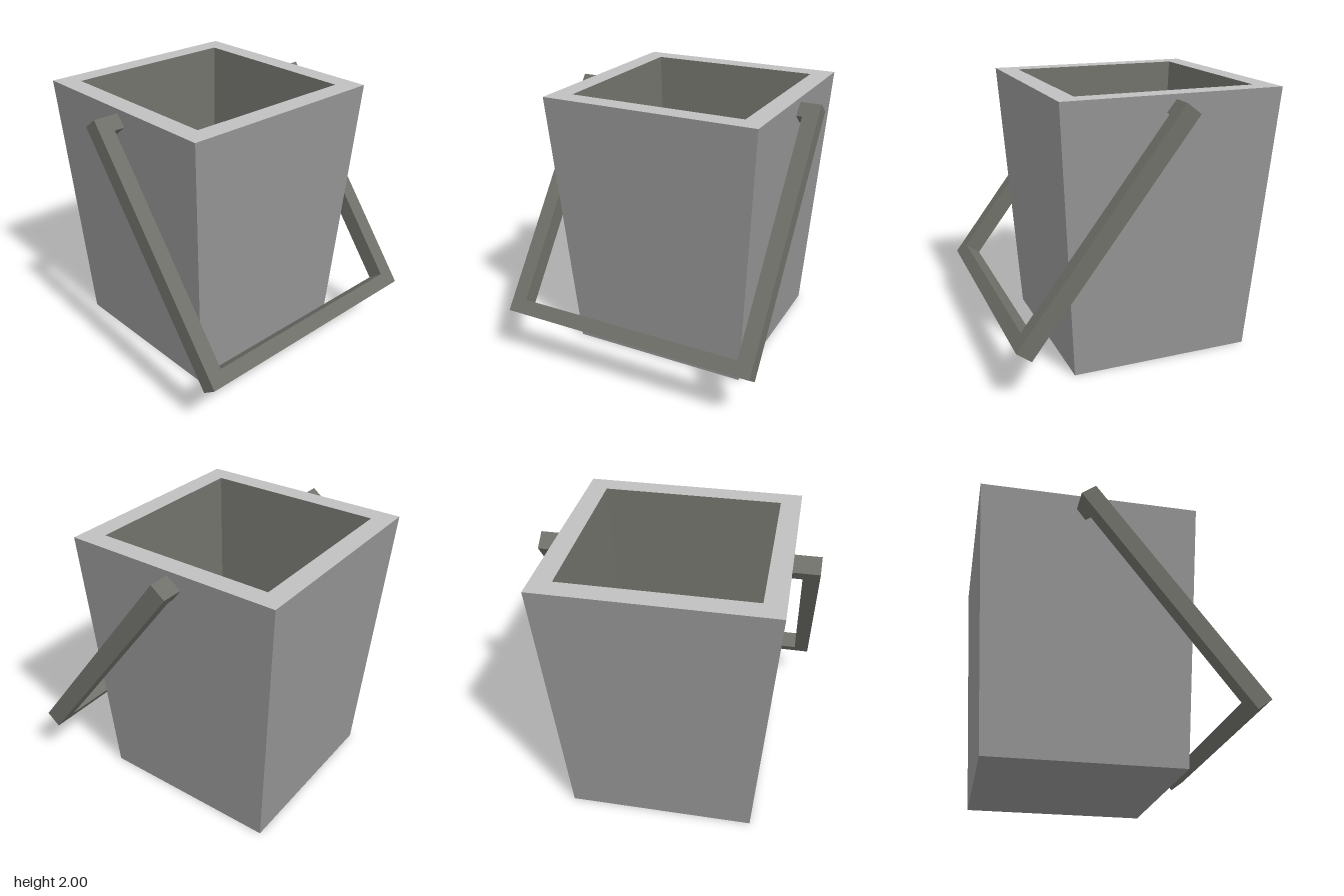
import * as THREE from 'three';

const mat = (name, color) => {
  const m = new THREE.MeshStandardMaterial({ color });
  m.name = name;
  return m;
};

// Square bands joining successive [half width, height] rings
function squareLoft(rings) {
  const corners = [[1, 1], [1, -1], [-1, -1], [-1, 1]];
  const pos = [];
  for (let r = 0; r < rings.length - 1; r++) {
    const at = (ring, i) => {
      const [cx, cz] = corners[i % 4];
      return [cx * ring[0], ring[1], cz * ring[0]];
    };
    for (let i = 0; i < 4; i++) {
      const a = at(rings[r], i), b = at(rings[r], i + 1);
      const c = at(rings[r + 1], i + 1), d = at(rings[r + 1], i);
      if (rings[r][0] > 0) pos.push(...a, ...b, ...c);
      if (rings[r + 1][0] > 0) pos.push(...a, ...c, ...d);
      else if (rings[r][0] === 0) continue;
    }
  }
  const g = new THREE.BufferGeometry();
  g.setAttribute('position', new THREE.Float32BufferAttribute(pos, 3));
  g.computeVertexNormals();
  return g;
}

export function createModel() {
  const model = new THREE.Group();
  model.name = 'bucketWithHandle';
  const bodyGrey = mat('body grey', 0x959595);
  const rimGrey = mat('rim light grey', 0xc0c0c0);
  const darkGrey = mat('dark warm grey', 0x70706a);

  // Tapered square bucket, from the underside up over the rim to the inner floor
  const bucket = new THREE.Group();
  bucket.name = 'bucket';
  bucket.position.set(-0.19, 0, -0.017);
  const parts = [
    ['outerShell', bodyGrey, [[0, 0], [0.687, 0], [0.81, 2]]],
    ['rim', rimGrey, [[0.81, 2], [0.662, 2]]],
    ['innerLining', darkGrey, [[0.662, 2], [0.588, 0.8], [0, 0.8]]],
  ];
  for (const [name, material, rings] of parts) {
    const mesh = new THREE.Mesh(squareLoft(rings), material);
    mesh.name = name;
    bucket.add(mesh);
  }
  model.add(bucket);

  // Swung-down handle: a C outline with short pegs that enter the bucket walls
  const length = 1.95, bar = 0.107, outer = 0.978, inner = 0.863, peg = 0.73;
  const half = [[0, peg], [bar, peg], [bar, inner], [length - bar, inner]];
  const outline = [
    ...half,
    ...half.map(([u, v]) => [u, -v]).reverse(),
    [0, -outer], [length, -outer], [length, outer], [0, outer],
  ];
  const shape = new THREE.Shape(outline.map(([u, v]) => new THREE.Vector2(u, v)));
  const handle = new THREE.Mesh(
    new THREE.ExtrudeGeometry(shape, { depth: 0.13, bevelEnabled: false }), darkGrey);
  handle.name = 'handle';
  const along = new THREE.Vector3(0.605, -0.796, 0).normalize();
  const across = new THREE.Vector3(0, 0, 1);
  const through = new THREE.Vector3().crossVectors(along, across);
  handle.quaternion.setFromRotationMatrix(new THREE.Matrix4().makeBasis(along, across, through));
  handle.position.set(-0.19, 1.965, 0);
  model.add(handle);

  return model;
}
